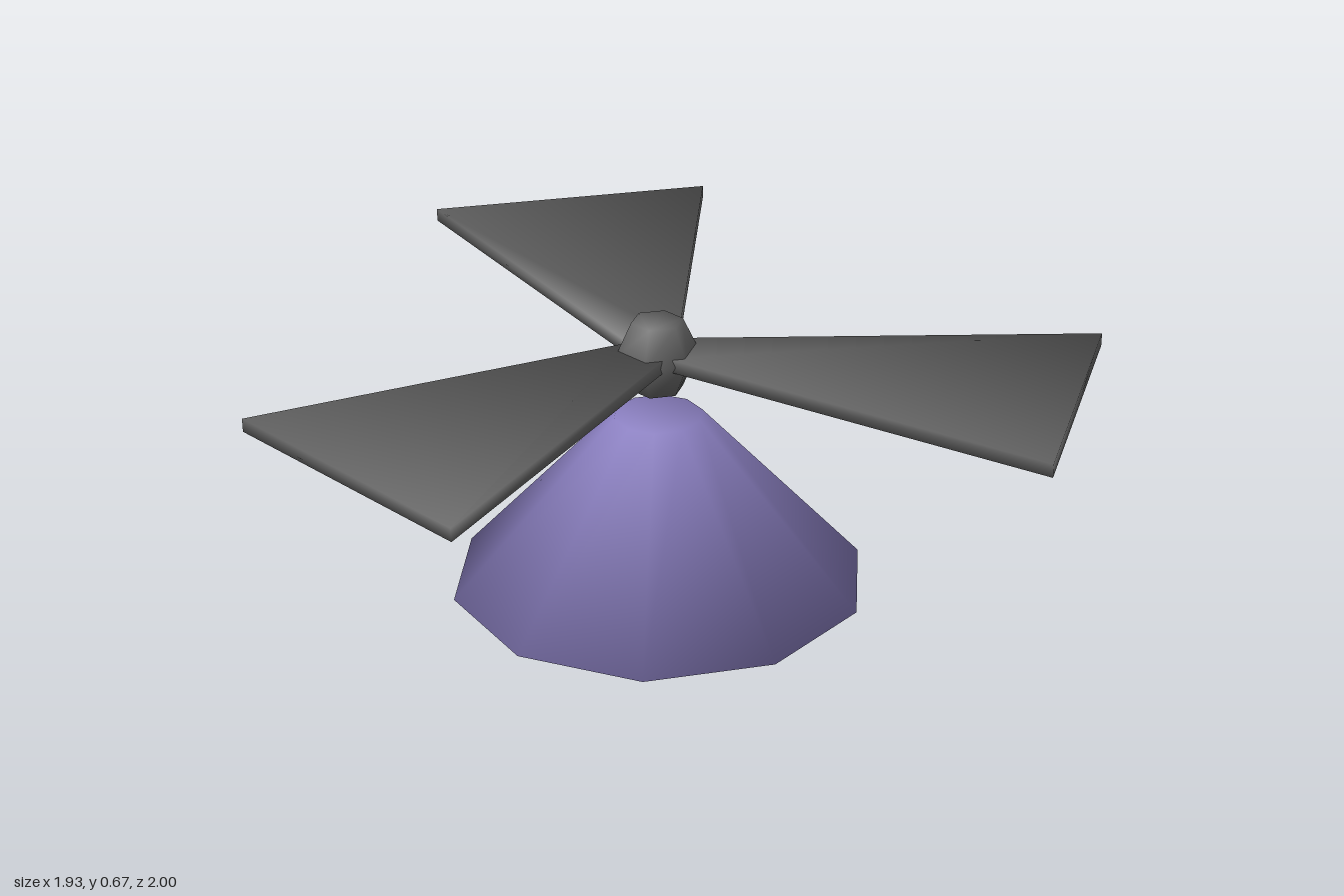
import * as THREE from 'three';

// Closed solid through stacked rings (bottom to top, anticlockwise from above),
// smooth all over with angle-weighted normals
function loft(rings) {
  const n = rings[0].length, top = (rings.length - 1) * n;
  const pts = rings.flat(), index = [];
  for (let i = 0; i < rings.length - 1; i++) {
    for (let j = 0; j < n; j++) {
      const a = i * n + j, b = i * n + (j + 1) % n;
      index.push(a, b, b + n, a, b + n, a + n);
    }
  }
  for (let j = 1; j < n - 1; j++) {
    index.push(top, top + j, top + j + 1, 0, j + 1, j);
  }
  const normals = pts.map(() => new THREE.Vector3());
  for (let f = 0; f < index.length; f += 3) {
    const tri = index.slice(f, f + 3);
    for (let k = 0; k < 3; k++) {
      const p = pts[tri[k]];
      const u = pts[tri[(k + 1) % 3]].clone().sub(p);
      const v = pts[tri[(k + 2) % 3]].clone().sub(p);
      const angle = u.angleTo(v);
      normals[tri[k]].addScaledVector(u.cross(v).normalize(), angle);
    }
  }
  normals.forEach((v) => v.normalize());
  const geo = new THREE.BufferGeometry().setFromPoints(pts);
  geo.setAttribute('normal', new THREE.Float32BufferAttribute(normals.flatMap((v) => v.toArray()), 3));
  geo.setIndex(index);
  return geo;
}

// Regular polygon ring at height y
function ring(sides, r, y, cx, cz, turn = 0) {
  return Array.from({ length: sides }, (_, i) => {
    const a = turn + (i / sides) * Math.PI * 2;
    return new THREE.Vector3(cx + r * Math.sin(a), y, cz + r * Math.cos(a));
  });
}

export function createModel() {
  const model = new THREE.Group();
  const purple = new THREE.MeshStandardMaterial({ color: 0x8a7fc0 });
  purple.name = 'purple cap';
  const grey = new THREE.MeshStandardMaterial({ color: 0x666666 });
  grey.name = 'dark grey propeller';

  const add = (name, geo, mat, parent) => {
    const mesh = new THREE.Mesh(geo, mat);
    mesh.name = name;
    parent.add(mesh);
  };

  // Ten-sided cap
  add('cap', loft([
    ring(10, 0.505, 0, -0.077, 0.083),
    ring(10, 0.107, 0.432, -0.077, 0.083),
  ]), purple, model);

  const propeller = new THREE.Group();
  propeller.name = 'propeller';
  model.add(propeller);

  // Six-sided hub, widest in the middle
  const turn = THREE.MathUtils.degToRad(-12.5);
  add('hub', loft([[0.062, 0.492], [0.102, 0.58], [0.062, 0.665]]
    .map(([r, y]) => ring(6, r, y, -0.08, 0.066, turn))), grey, propeller);

  // Three thin blades that widen outwards, meeting at shared root corners
  const a = [-0.15, 0.045], b = [-0.035, 0.01], c = [-0.055, 0.13];
  const blades = {
    backBlade: [b, [-0.036, -1], [-0.725, -0.785], a],
    leftBlade: [c, [0.812, 0.625], [0.965, -0.08], b],
    rightBlade: [a, [-0.968, 0.51], [-0.433, 0.995], c],
  };
  for (const [name, outline] of Object.entries(blades)) {
    add(name, loft([0.565, 0.597].map((y) =>
      outline.map(([x, z]) => new THREE.Vector3(x, y, z)))), grey, propeller);
  }
  return model;
}
